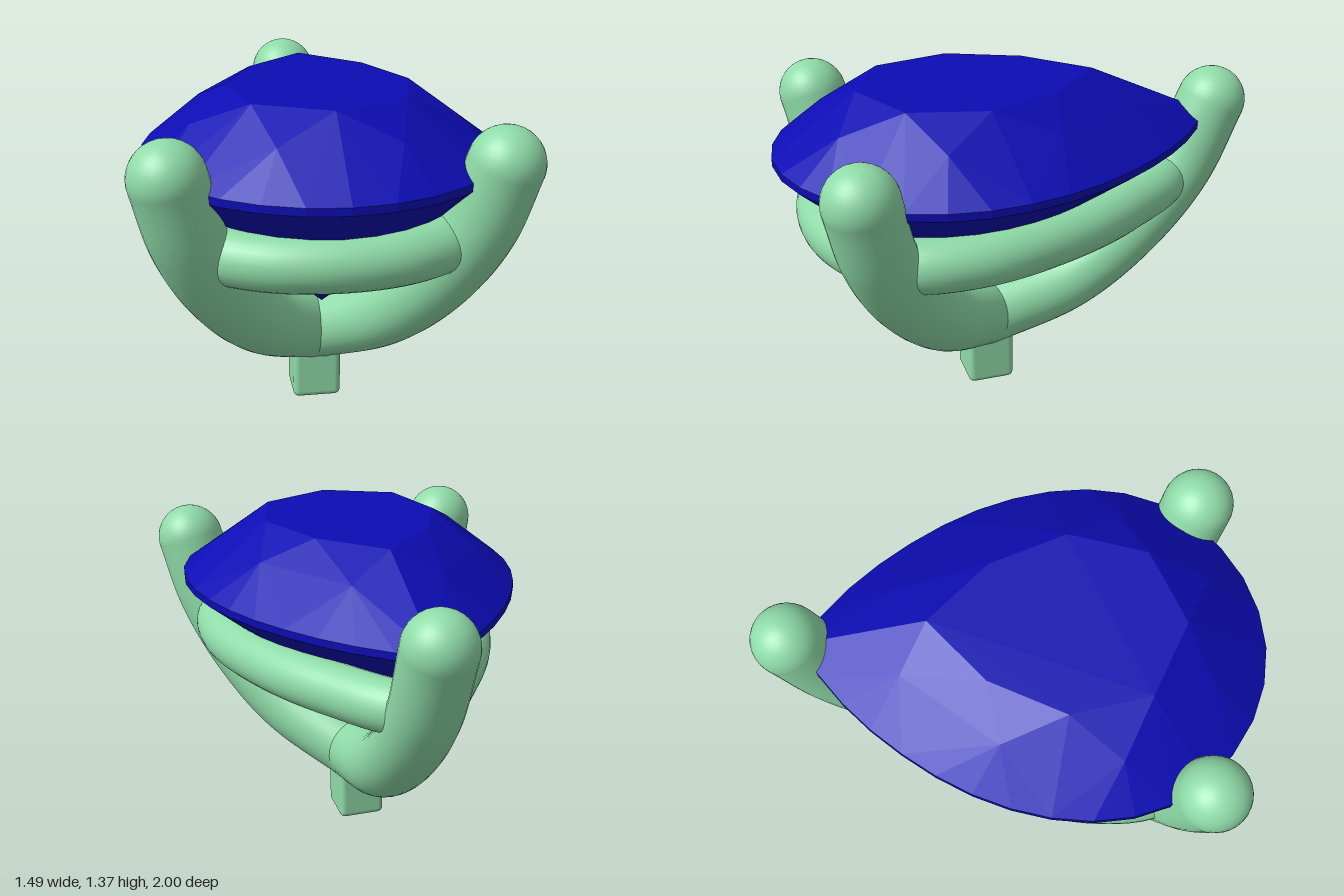
import * as THREE from 'three';
import { ConvexGeometry } from 'three/addons/geometries/ConvexGeometry.js';
import { RoundedBoxGeometry } from 'three/addons/geometries/RoundedBoxGeometry.js';

const V = (x, y, z) => new THREE.Vector3(x, y, z);
const metal = new THREE.MeshStandardMaterial({ color: 0x8fdba8 });
const gemBlue = new THREE.MeshStandardMaterial({ color: 0x0c0cb4, flatShading: true });

// Half of the pear outline, from the pointed back round to the front
const halfPear = new THREE.CatmullRomCurve3([
  [0, -0.83], [0.11, -0.75], [0.28, -0.6], [0.45, -0.39], [0.58, -0.17], [0.66, 0.05],
  [0.695, 0.3], [0.655, 0.55], [0.56, 0.72], [0.4, 0.87], [0.2, 0.97], [0, 1],
].map(([x, z]) => V(x, 0, z)));

// Point on the full outline (t from 0 to 1), scaled about the middle of the table
function pear(t, scale, y) {
  const u = t <= 0.5 ? t * 2 : (1 - t) * 2;
  const p = halfPear.getPointAt(u);
  return V(p.x * scale * (t <= 0.5 ? 1 : -1), y, 0.28 + (p.z - 0.28) * scale);
}

function ring(count, scale, y, shift = 0) {
  return Array.from({ length: count }, (_, i) => pear((i + shift) / count, scale, y));
}

function createGem() {
  const points = [
    ...ring(8, 0.53, 1.365),
    ...ring(8, 0.75, 1.27, 0.5),
    ...ring(32, 1, 1.125),
    ...ring(32, 1, 1.095),
    V(0, 0.5, 0.36),
  ];
  const gem = new THREE.Mesh(new ConvexGeometry(points), gemBlue);
  gem.name = 'gem';
  return gem;
}

// A round bar along a path, with domed ends
function createProng(name, points, radius) {
  const prong = new THREE.Group();
  prong.name = name;
  const path = new THREE.CatmullRomCurve3(points);
  prong.add(new THREE.Mesh(new THREE.TubeGeometry(path, 48, radius, 32), metal));
  for (const end of [points[0], points[points.length - 1]]) {
    const dome = new THREE.Mesh(new THREE.SphereGeometry(radius, 32, 20), metal);
    dome.position.copy(end);
    prong.add(dome);
  }
  prong.children.forEach((m, i) => { m.name = i ? 'prongDome' : 'prongBar'; });
  return prong;
}

export function createModel() {
  const model = new THREE.Group();
  model.name = 'gemSetting';
  model.add(createGem());

  // Two front prongs and one at the back, meeting above the base
  for (const side of [1, -1]) {
    model.add(createProng(side > 0 ? 'leftProng' : 'rightProng', [
      V(0, 0.295, 0.155), V(side * 0.25, 0.46, 0.4), V(side * 0.42, 0.68, 0.58),
      V(side * 0.535, 0.92, 0.695), V(side * 0.6, 1.172, 0.755),
    ], 0.143));
  }
  model.add(createProng('backProng', [
    V(0, 0.295, 0.155), V(0, 0.41, -0.22), V(0, 0.61, -0.5),
    V(0, 0.87, -0.72), V(0, 1.172, -0.856),
  ], 0.143));

  // Rail under the gem, tying the prongs together
  const half = [[0.27, 0.765], [0.49, 0.6], [0.53, 0.32], [0.44, -0.02], [0.26, -0.36]];
  const railPath = new THREE.CatmullRomCurve3([
    V(0, 0.85, 0.815),
    ...half.map(([x, z]) => V(x, 0.85, z)),
    V(0, 0.85, -0.64),
    ...half.slice().reverse().map(([x, z]) => V(-x, 0.85, z)),
  ], true);
  const rail = new THREE.Mesh(new THREE.TubeGeometry(railPath, 128, 0.107, 28, true), metal);
  rail.name = 'rail';
  model.add(rail);

  // Square peg at the bottom
  const peg = new THREE.Mesh(new RoundedBoxGeometry(0.2, 0.28, 0.2, 4, 0.025), metal);
  peg.position.set(0, 0.14, 0.157);
  peg.name = 'basePeg';
  model.add(peg);
  return model;
}
